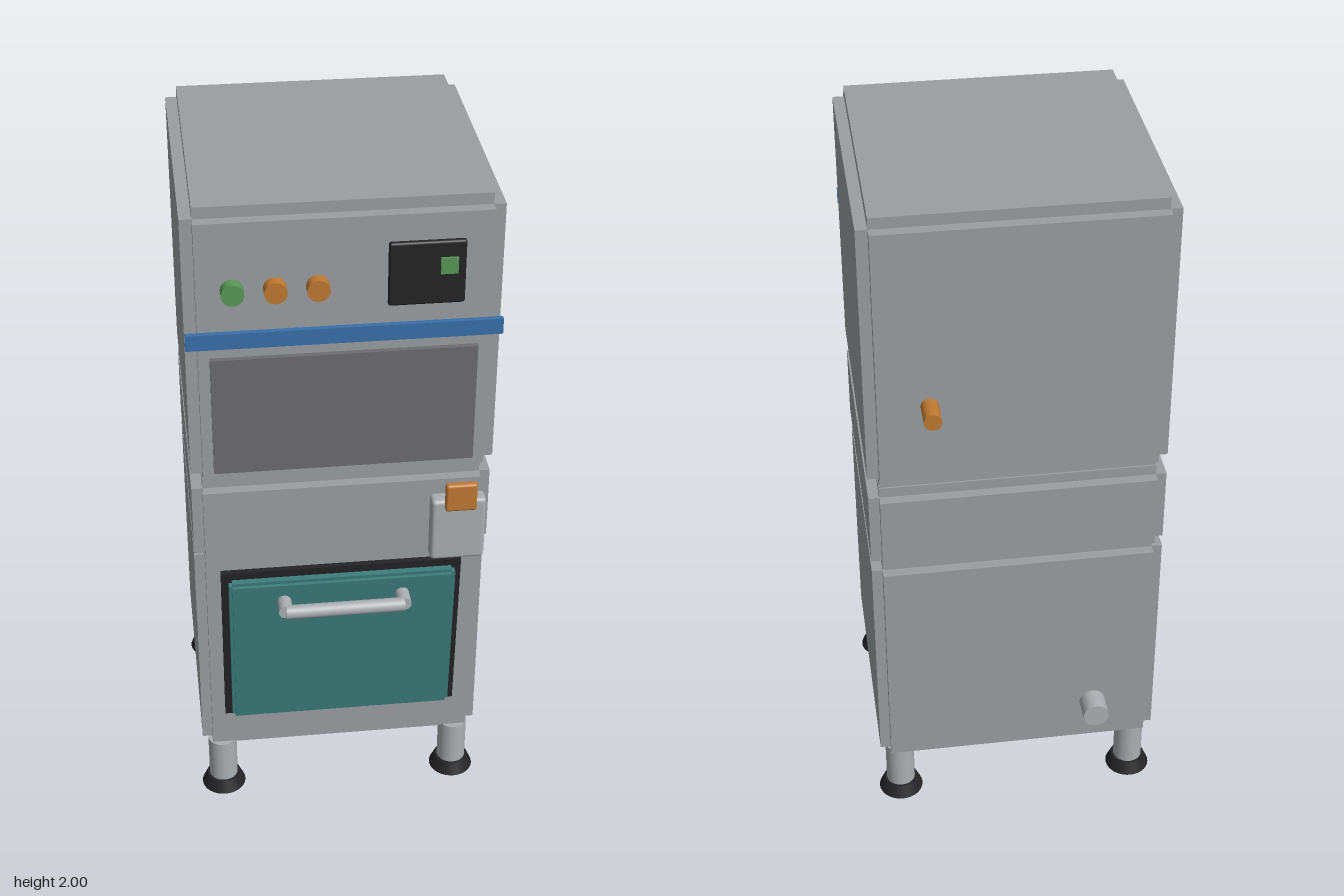
import * as THREE from 'three';
import { RoundedBoxGeometry } from 'three/addons/geometries/RoundedBoxGeometry.js';

const mat = (name, color) => {
  const m = new THREE.MeshStandardMaterial({ color });
  m.name = name;
  return m;
};

export function createModel() {
  const root = new THREE.Group();
  root.name = 'ovenTower';
  const body = mat('brushed grey', 0x9a9fa2);
  const steel = mat('light steel', 0xacafb3);
  const black = mat('black', 0x242426);
  const teal = mat('teal', 0x3c7c7a);
  const blue = mat('blue', 0x3a70aa);
  const orange = mat('orange', 0xc07a32);
  const green = mat('green', 0x589858);
  const glass = mat('dark glass', 0x6c6c72);

  const add = (parent, name, geo, material, x, y, z) => {
    const m = new THREE.Mesh(geo, material);
    m.name = name;
    m.position.set(x, y, z);
    parent.add(m);
    return m;
  };
  // box given by its limits on each axis
  const span = (parent, name, material, x0, x1, y0, y1, z0, z1, r = 0) => {
    const s = [x1 - x0, y1 - y0, z1 - z0];
    const geo = r ? new RoundedBoxGeometry(...s, 3, r) : new THREE.BoxGeometry(...s);
    return add(parent, name, geo, material, (x0 + x1) / 2, (y0 + y1) / 2, (z0 + z1) / 2);
  };
  // box with raised panels: every edge is a square notch of size t
  const panelled = (parent, name, material, x0, x1, y0, y1, z0, z1, t) => {
    const g = new THREE.Group();
    g.name = name;
    parent.add(g);
    span(g, name + 'Sides', material, x0, x1, y0 + t, y1 - t, z0 + t, z1 - t);
    span(g, name + 'FrontBack', material, x0 + t, x1 - t, y0 + t, y1 - t, z0, z1);
    span(g, name + 'TopBottom', material, x0 + t, x1 - t, y0, y1, z0 + t, z1 - t);
    return g;
  };
  // cylinder along z
  const rodZ = (name, material, r, x, y, z0, z1) => {
    const m = add(root, name, new THREE.CylinderGeometry(r, r, z1 - z0, 32), material, x, y, (z0 + z1) / 2);
    m.rotation.x = Math.PI / 2;
    return m;
  };

  // three stacked cabinets
  panelled(root, 'lowerCabinet', body, -0.415, 0.415, 0.17, 0.915, -0.428, 0.35, 0.03);
  panelled(root, 'middleCabinet', body, -0.415, 0.415, 0.89, 1.17, -0.428, 0.39, 0.03);
  panelled(root, 'upperCabinet', body, -0.415, 0.415, 1.172, 2, -0.428, 0.412, 0.032);

  // legs and feet
  for (const x of [-0.355, 0.355]) {
    for (const z of [-0.36, 0.302]) {
      add(root, 'leg', new THREE.CylinderGeometry(0.043, 0.043, 0.15, 32), steel, x, 0.105, z);
      add(root, 'foot', new THREE.CylinderGeometry(0.05, 0.066, 0.037, 32), black, x, 0.0185, z);
    }
  }

  // tilted door with its seal
  const door = new THREE.Group();
  door.name = 'door';
  door.position.set(-0.003, 0.595, 0.372);
  door.rotation.x = 0.068;
  root.add(door);
  span(door, 'doorSeal', black, -0.342, 0.342, -0.275, 0.275, -0.008, 0.008);
  panelled(door, 'doorPanel', teal, -0.322, 0.322, -0.26, 0.26, 0.008, 0.046, 0.01);

  // door handle
  for (const x of [-0.17, 0.166]) rodZ('handlePost', steel, 0.02, x, 0.785, 0.415, 0.484);
  const bar = add(root, 'handleBar', new THREE.CylinderGeometry(0.02, 0.02, 0.335, 32), steel, -0.002, 0.785, 0.483);
  bar.rotation.z = Math.PI / 2;

  // latch on the middle cabinet
  span(root, 'latchBox', steel, 0.243, 0.396, 0.895, 1.095, 0.385, 0.435, 0.012);
  span(root, 'latchTab', orange, 0.277, 0.365, 1.073, 1.16, 0.434, 0.457, 0.008);

  // upper front: window, trim, knobs and display
  span(root, 'window', glass, -0.353, 0.351, 1.23, 1.582, 0.408, 0.427);
  span(root, 'trimStrip', blue, -0.415, 0.415, 1.615, 1.66, 0.412, 0.427);
  [[-0.29, green], [-0.18, orange], [-0.07, orange]].forEach(([x, m]) =>
    rodZ('knob', m, 0.03, x, 1.78, 0.41, 0.445));
  span(root, 'display', black, 0.11, 0.31, 1.715, 1.895, 0.41, 0.428, 0.007);
  span(root, 'displayLight', green, 0.243, 0.288, 1.805, 1.85, 0.426, 0.436);

  // pipes at the back
  rodZ('drainPipe', steel, 0.038, -0.223, 0.337, -0.498, -0.41);
  rodZ('inletPipe', orange, 0.024, 0.243, 1.45, -0.508, -0.41);

  return root;
}
